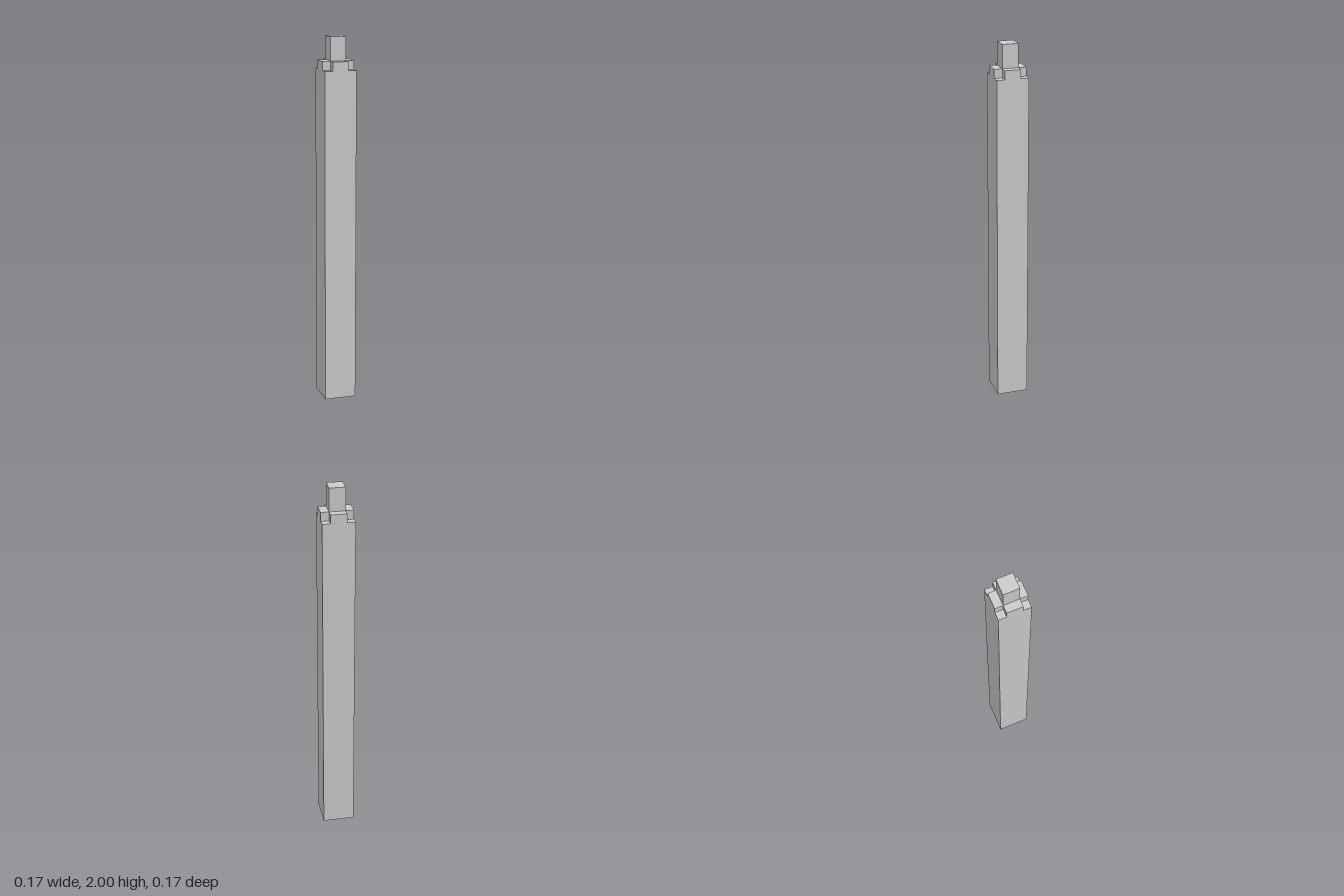
import * as THREE from 'three';

const HALF = 0.087;     // half width of the shaft
const CORE = 0.0435;    // half width of the spire and the cross arms
const SHOULDER = 1.825; // height of the corner notches
const CROWN = 1.873;    // top of the cross
const TOP = 2;

export function createModel() {
  const group = new THREE.Group();
  group.name = 'tower';
  const material = new THREE.MeshStandardMaterial({ color: 0xcccccc, flatShading: true });

  const add = (name, geometry) => {
    const mesh = new THREE.Mesh(geometry, material);
    mesh.name = name;
    group.add(mesh);
  };

  // Square block between two heights
  const block = (half, y0, y1) =>
    new THREE.BoxGeometry(2 * half, y1 - y0, 2 * half).translate(0, (y0 + y1) / 2, 0);

  // Main shaft
  add('shaft', block(HALF, 0, SHOULDER));

  // Plus-shaped crown leaving a notch at each corner
  const points = [];
  for (let i = 0; i < 4; i++) {
    for (const [x, y] of [[HALF, -CORE], [HALF, CORE], [CORE, CORE]]) {
      points.push(new THREE.Vector2(x, y).rotateAround(new THREE.Vector2(), i * Math.PI / 2));
    }
  }
  const cross = new THREE.ExtrudeGeometry(new THREE.Shape(points), {
    depth: CROWN - SHOULDER, bevelEnabled: false,
  });
  add('crown', cross.rotateX(-Math.PI / 2).translate(0, SHOULDER, 0));

  // Square spire
  add('spire', block(CORE, CROWN, TOP));

  return group;
}
